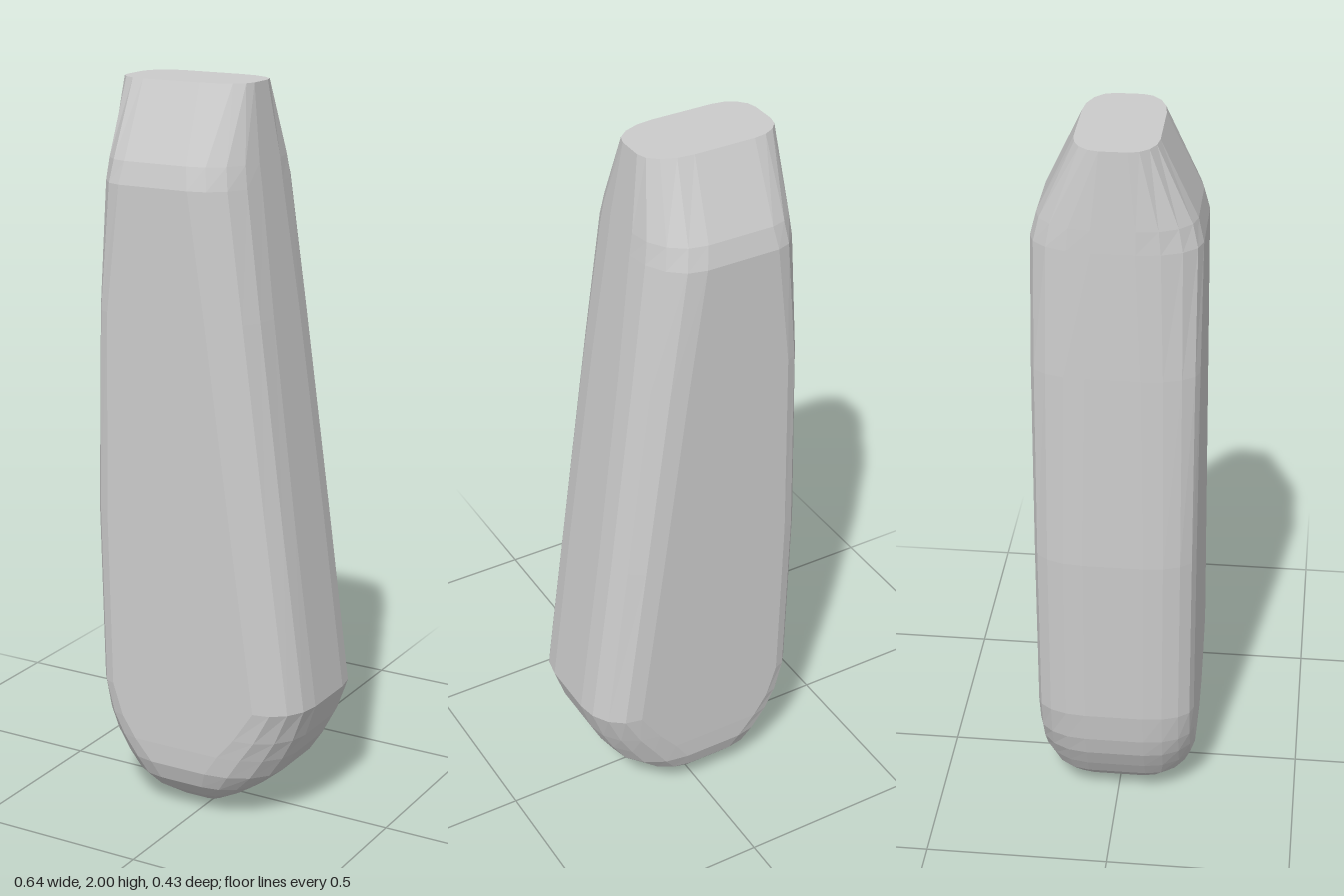
import * as THREE from 'three';

// Horizontal cross-sections, bottom to top:
// y, left x, right x, half depth, flat face left x, flat face right x, half depth of flat sides
const SECTIONS = [
  [0.00, -0.07, 0.00, 0.075, -0.05, -0.02, 0.04],
  [0.015, -0.12, 0.04, 0.11, -0.07, 0.00, 0.06],
  [0.05, -0.18, 0.10, 0.16, -0.09, 0.02, 0.07],
  [0.09, -0.22, 0.16, 0.195, -0.10, 0.03, 0.08],
  [0.14, -0.25, 0.22, 0.213, -0.12, 0.05, 0.08],
  [0.20, -0.28, 0.26, 0.215, -0.17, 0.09, 0.08],
  [0.26, -0.297, 0.29, 0.215, -0.21, 0.14, 0.08],
  [0.35, -0.31, 0.32, 0.215, -0.24, 0.20, 0.08],
  [0.85, -0.32, 0.253, 0.215, -0.25, 0.13, 0.08],
  [1.40, -0.307, 0.18, 0.215, -0.24, 0.055, 0.07],
  [1.74, -0.295, 0.135, 0.215, -0.20, 0.005, 0.055],
  [1.80, -0.292, 0.127, 0.20, -0.19, -0.005, 0.055],
  [2.00, -0.28, 0.10, 0.105, -0.19, -0.02, 0.035],
];
const STEPS = 4; // facets per rounded corner

// One rounded-rectangle ring
function ring([y, xl, xr, hz, fl, fr, fz]) {
  const points = [];
  for (let corner = 0; corner < 4; corner++) {
    const right = corner === 0 || corner === 3;
    const flat = right ? fr : fl;
    const reach = right ? xr - fr : fl - xl;
    const zSide = corner < 2 ? 1 : -1;
    for (let i = 0; i <= STEPS; i++) {
      const a = (corner + i / STEPS) * Math.PI / 2;
      points.push([
        flat + Math.cos(a) * reach,
        y,
        zSide * fz + Math.sin(a) * (hz - fz),
      ]);
    }
  }
  return points;
}

// Skin the rings and close both ends
function loft(sections) {
  const rings = sections.map(ring);
  const n = rings[0].length;
  const positions = rings.flat(2);
  const index = [];
  for (let r = 0; r < rings.length - 1; r++) {
    for (let i = 0; i < n; i++) {
      const j = (i + 1) % n;
      const a = r * n + i, b = r * n + j;
      index.push(a, a + n, b, b, a + n, b + n);
    }
  }
  const top = (rings.length - 1) * n;
  for (let i = 1; i < n - 1; i++) {
    index.push(0, i, i + 1);
    index.push(top, top + i + 1, top + i);
  }
  const geometry = new THREE.BufferGeometry();
  geometry.setAttribute('position', new THREE.Float32BufferAttribute(positions, 3));
  geometry.setIndex(index);
  const faceted = geometry.toNonIndexed();
  faceted.computeVertexNormals();
  return faceted;
}

export function createModel() {
  const group = new THREE.Group();
  group.name = 'handle';
  const grip = new THREE.Mesh(
    loft(SECTIONS),
    new THREE.MeshStandardMaterial({ color: 0xcccccc, flatShading: true }),
  );
  grip.name = 'grip';
  group.add(grip);
  return group;
}
